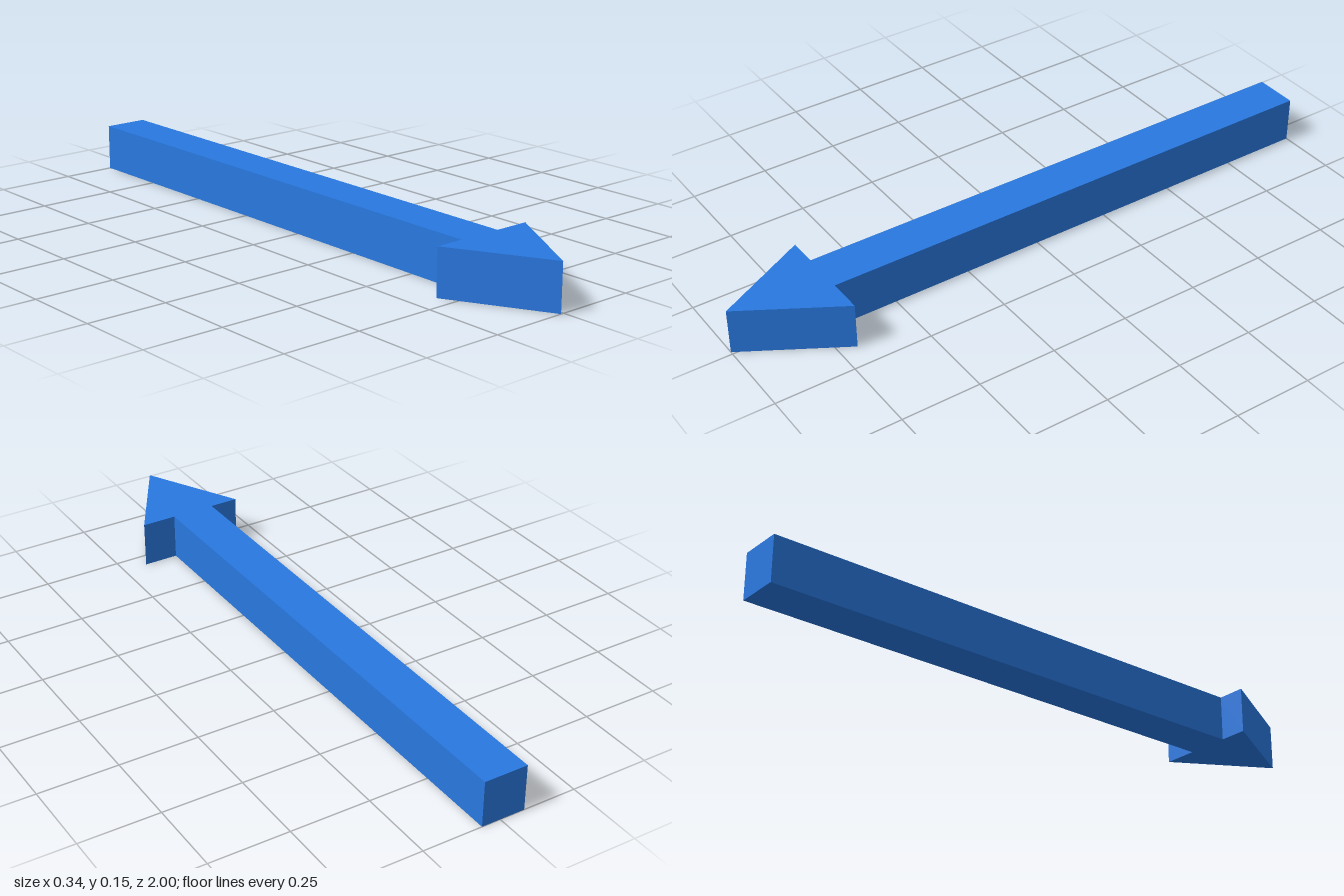
import * as THREE from 'three';

const HEIGHT = 0.147;
const NECK_Z = 0.695; // where the shaft meets the head

export function createModel() {
  const group = new THREE.Group();
  group.name = 'arrow';

  // Flat outline of the whole arrow, drawn as (x, z)
  const outline = new THREE.Shape([
    [-0.08, -1], [0.06, -1], [0.06, NECK_Z], [0.171, NECK_Z],
    [-0.01, 1], [-0.171, NECK_Z], [-0.08, NECK_Z],
  ].map(([x, z]) => new THREE.Vector2(x, z)));

  // Extrude, then lay flat so the outline's y becomes z
  const geometry = new THREE.ExtrudeGeometry(outline, { depth: HEIGHT, bevelEnabled: false });
  geometry.rotateX(Math.PI / 2).translate(0, HEIGHT, 0);

  const arrow = new THREE.Mesh(geometry, new THREE.MeshStandardMaterial({ color: 0x2878e0 }));
  arrow.name = 'arrowBody';
  group.add(arrow);
  return group;
}
